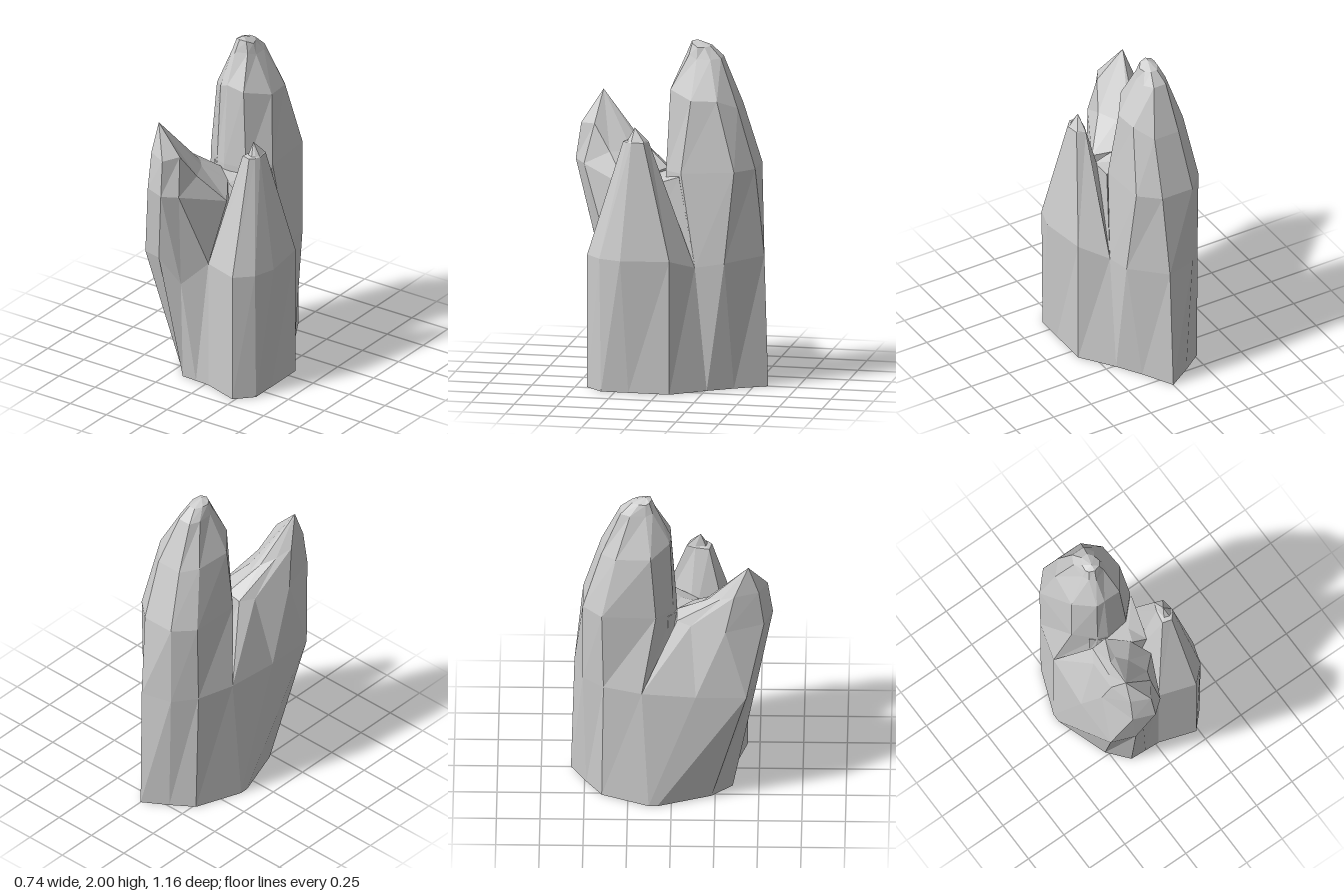
import * as THREE from 'three';

const material = new THREE.MeshStandardMaterial({ color: 0xcccccc, flatShading: true, side: THREE.DoubleSide });

// Skins a stack of equal-length rings, and closes the top with a fan to apex
function loft(name, rings, apex) {
  const pos = [];
  const n = rings[0].length;
  for (let r = 0; r < rings.length - 1; r++) {
    const lo = rings[r], hi = rings[r + 1];
    for (let i = 0; i < n; i++) {
      const j = (i + 1) % n;
      pos.push(...lo[i], ...lo[j], ...hi[j], ...lo[i], ...hi[j], ...hi[i]);
    }
  }
  const top = rings[rings.length - 1];
  if (apex) top.forEach((p, i) => pos.push(...p, ...top[(i + 1) % n], ...apex));
  const geo = new THREE.BufferGeometry();
  geo.setAttribute('position', new THREE.Float32BufferAttribute(pos, 3));
  geo.computeVertexNormals();
  const mesh = new THREE.Mesh(geo, material);
  mesh.name = name;
  return mesh;
}

export function createModel() {
  const group = new THREE.Group();
  group.name = 'rockSpires';

  // Shared lower body: open foot and the shoulder from which the spires rise
  const foot = [
    [0.02, 0, 0.36], [0.235, 0, 0.43], [0.33, 0, 0.33], [0.33, 0, 0.17], [0.33, 0, -0.07],
    [0.19, 0, -0.26], [0.10, 0, -0.40], [0, 0, -0.58], [-0.14, 0, -0.49], [-0.265, 0, -0.40],
    [-0.37, 0, -0.13], [-0.37, 0, -0.08], [-0.265, 0, 0.23], [-0.165, 0, 0.35], [-0.07, 0, 0.355],
  ];
  const mid = [
    [0.02, 0.78, 0.36], [0.235, 0.78, 0.43], [0.33, 0.78, 0.34], [0.37, 0.78, 0.21], [0.33, 0.78, -0.07],
    [0.19, 0.72, -0.19], [0.18, 0.75, -0.36], [0.01, 0.77, -0.56], [-0.17, 0.77, -0.51], [-0.275, 0.78, -0.39],
    [-0.34, 0.78, -0.17], [-0.37, 0.78, 0.14], [-0.37, 0.78, 0.43], [-0.235, 0.8, 0.49], [-0.13, 0.63, 0.42],
  ];
  group.add(loft('lowerBody', [foot, mid]));

  // Right spire: steep faces to a small pointed cap set back on a ledge
  group.add(loft('pointedSpire', [
    [...mid.slice(0, 6), [0, 0.78, 0.08]],
    [[0.155, 1.45, 0.21], [0.21, 1.45, 0.225], [0.235, 1.45, 0.2], [0.25, 1.45, 0.17],
      [0.24, 1.45, 0.10], [0.19, 1.45, 0.08], [0.17, 1.45, 0.13]],
    [[0.18, 1.455, 0.19], [0.21, 1.455, 0.2], [0.23, 1.455, 0.19], [0.245, 1.455, 0.17],
      [0.235, 1.455, 0.10], [0.19, 1.455, 0.085], [0.175, 1.455, 0.13]],
  ], [0.195, 1.53, 0.16]));

  // Tall rear spire with a rounded tip
  group.add(loft('tallSpire', [
    [...mid.slice(5, 11), [-0.2, 0.78, 0], [-0.1, 0.78, 0.03], [0.06, 0.78, 0]],
    [[0.15, 1.26, -0.10], [0.145, 1.28, -0.41], [0.03, 1.28, -0.51], [-0.17, 1.28, -0.51], [-0.275, 1.28, -0.40],
      [-0.27, 1.27, -0.09], [-0.16, 1.25, 0.01], [-0.1, 1.25, 0.03], [0.04, 1.25, 0.01]],
    [[0.11, 1.68, -0.15], [0.10, 1.68, -0.30], [0.02, 1.63, -0.405], [-0.14, 1.63, -0.405], [-0.22, 1.65, -0.32],
      [-0.25, 1.67, -0.12], [-0.15, 1.72, -0.01], [-0.1, 1.74, -0.005], [0.01, 1.72, -0.01]],
    [[-0.005, 1.90, -0.16], [-0.005, 1.90, -0.24], [-0.04, 1.905, -0.295], [-0.12, 1.905, -0.295], [-0.15, 1.91, -0.24],
      [-0.15, 1.91, -0.15], [-0.135, 1.92, -0.11], [-0.10, 1.92, -0.085], [-0.03, 1.92, -0.11]],
    [[-0.025, 1.965, -0.16], [-0.035, 1.965, -0.20], [-0.06, 1.97, -0.23], [-0.10, 1.97, -0.23], [-0.125, 1.975, -0.19],
      [-0.13, 1.975, -0.15], [-0.12, 1.985, -0.13], [-0.09, 1.99, -0.115], [-0.05, 1.985, -0.125]],
  ], [-0.085, 2, -0.15]));

  // Front spire, leaning forward with a ridge running back
  group.add(loft('leaningSpire', [
    [...mid.slice(10), mid[0], mid[0], [0.05, 0.78, 0.12], [-0.1, 0.78, -0.05]],
    [[-0.21, 1.21, 0.03], [-0.26, 1.21, 0.11], [-0.345, 1.23, 0.31], [-0.285, 1.25, 0.53], [-0.16, 1.25, 0.58],
      [-0.08, 1.24, 0.515], [0.06, 1.14, 0.23], [-0.01, 1.21, 0.12], [-0.12, 1.23, 0.03]],
    [[-0.21, 1.37, 0.21], [-0.27, 1.41, 0.28], [-0.315, 1.46, 0.36], [-0.28, 1.47, 0.50], [-0.17, 1.46, 0.55],
      [-0.11, 1.47, 0.46], [-0.06, 1.32, 0.36], [-0.11, 1.32, 0.24], [-0.16, 1.32, 0.18]],
  ], [-0.27, 1.64, 0.44]));

  // Sloping saddle that fills the gap between the three spires
  group.add(loft('saddle', [
    [[0, 0.75, 0.13], [0.09, 0.75, 0.15], mid[5], [-0.2, 0.75, -0.02]],
    [[0, 1.2, 0.13], [0.09, 1.15, 0.15], [0.152, 1.24, -0.09], [-0.2, 1.23, -0.02]],
  ], [0.03, 1.2, 0.05]));

  return group;
}
